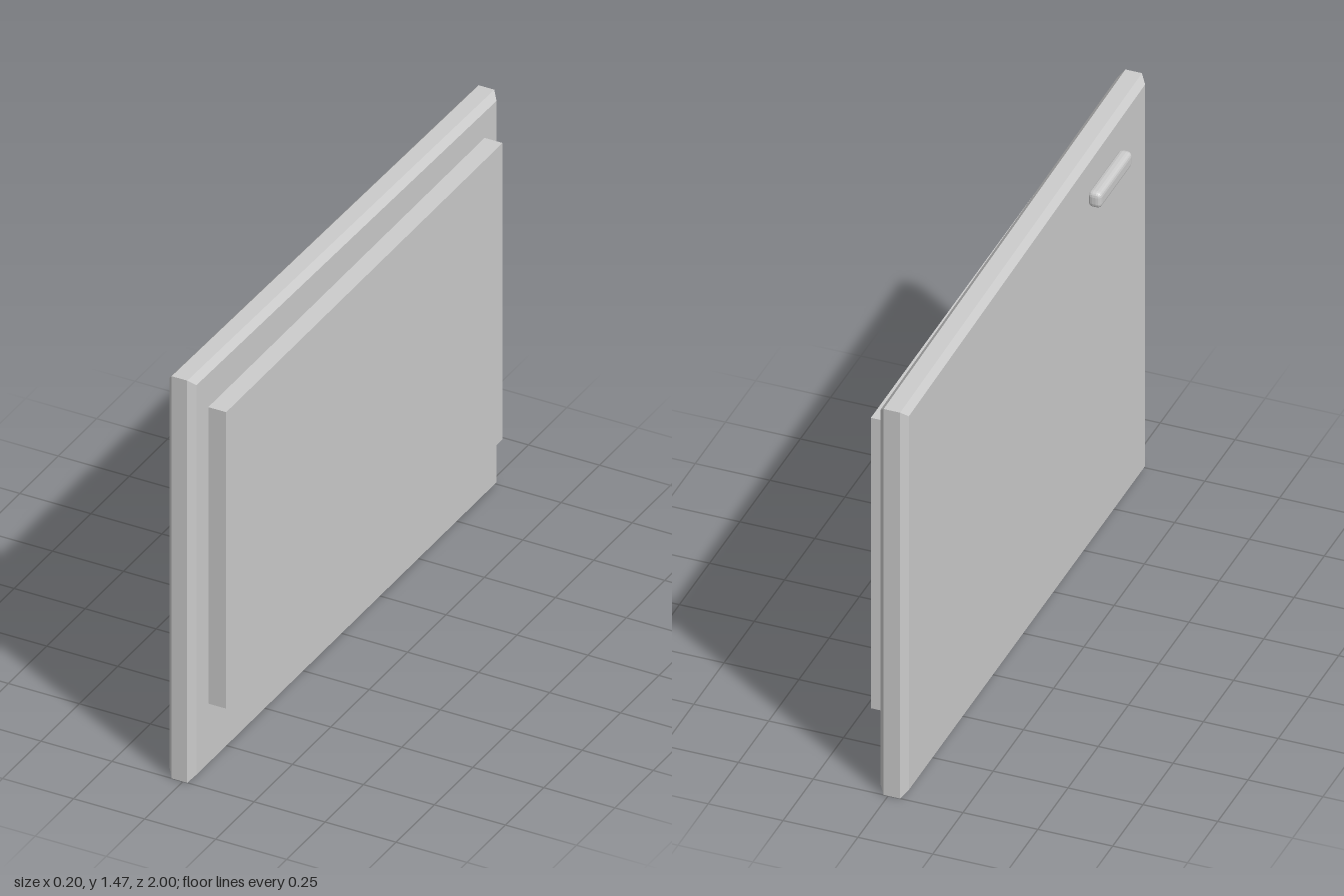
import * as THREE from 'three';
import { RoundedBoxGeometry } from 'three/addons/geometries/RoundedBoxGeometry.js';

export function createModel() {
  const group = new THREE.Group();
  const material = new THREE.MeshStandardMaterial({ color: 0xcccccc, flatShading: true });
  const add = (name, geometry, x, y, z) => {
    const mesh = new THREE.Mesh(geometry, material);
    mesh.name = name;
    mesh.position.set(x, y, z);
    group.add(mesh);
  };

  // Chamfered door slab, its top edge sloping down towards the back
  const outline = new THREE.Shape([[-1, 0], [1, 0], [1, 1.435], [-1, 1.465]]
    .map(([a, y]) => new THREE.Vector2(a, y)));
  const slab = new THREE.ExtrudeGeometry(outline, {
    depth: 0.055, bevelThickness: 0.02, bevelSize: 0.023, bevelOffset: -0.023, bevelSegments: 1,
  });
  slab.rotateY(Math.PI / 2);
  add('doorSlab', slab, -0.04, 0, 0);

  // Raised lining on the left face
  add('innerPanel', new THREE.BoxGeometry(0.07, 1.08, 1.8), 0.063, 0.78, 0);

  // Small rounded pull on the right face
  add('handle', new RoundedBoxGeometry(0.046, 0.058, 0.27, 2, 0.017), -0.077, 1.3, 0.645);

  return group;
}
